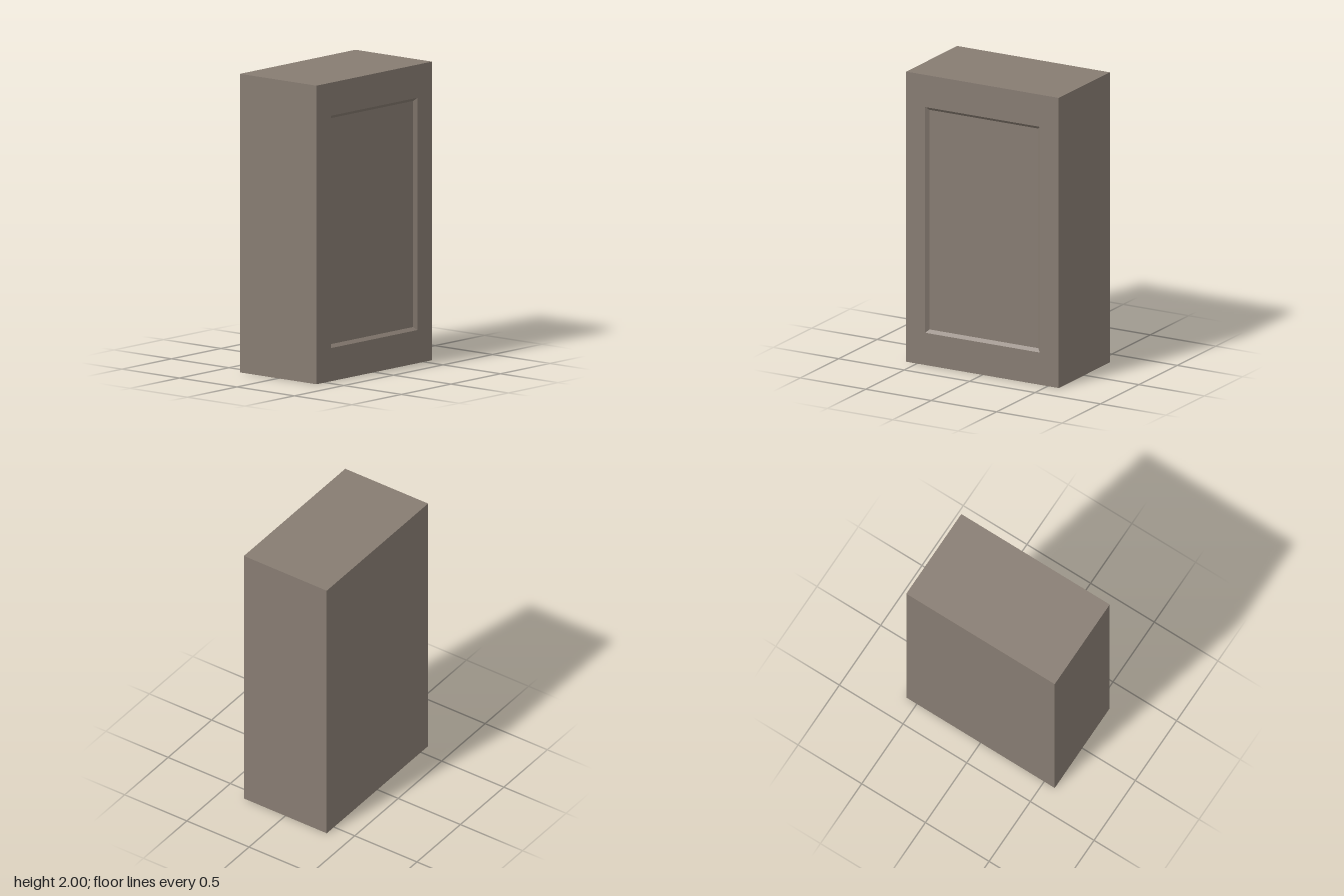
import * as THREE from 'three';

const material = new THREE.MeshStandardMaterial({ color: 0x877c72, flatShading: true });

// Rectangular cross-section, anticlockwise as seen from the front
const ring = (halfWidth, bottom, top, z) => [
  [-halfWidth, bottom, z], [halfWidth, bottom, z],
  [halfWidth, top, z], [-halfWidth, top, z],
];

const quad = (a, b, c, d) => [a, b, c, a, c, d].flat();

// Four quads joining one cross-section to the next
const strip = (a, b) => a.flatMap((p, i) => {
  const j = (i + 1) % 4;
  return quad(p, a[j], b[j], b[i]);
});

function part(name, positions) {
  const geometry = new THREE.BufferGeometry();
  geometry.setAttribute('position', new THREE.Float32BufferAttribute(positions, 3));
  geometry.computeVertexNormals();
  const mesh = new THREE.Mesh(geometry, material);
  mesh.name = name;
  return mesh;
}

export function createModel() {
  const halfW = 0.583, halfD = 0.333, height = 2;
  const bevel = 0.021;
  const openW = 0.437, openBottom = 0.222, openTop = 1.778;

  const back = ring(halfW, 0, height, -halfD);
  const front = ring(halfW, 0, height, halfD);
  const opening = ring(openW, openBottom, openTop, halfD);
  const recess = ring(openW - bevel, openBottom + bevel, openTop - bevel, halfD - bevel);

  const cabinet = new THREE.Group();
  cabinet.name = 'cabinet';
  cabinet.add(
    // Sides, top, bottom and back
    part('cabinetBody', [...strip(back, front), ...quad(...[...back].reverse())]),
    // Flat border around the door panel
    part('doorFrame', strip(front, opening)),
    // Sloping edge down to the sunken panel
    part('panelBevel', strip(opening, recess)),
    part('doorPanel', quad(...recess)),
  );
  return cabinet;
}
